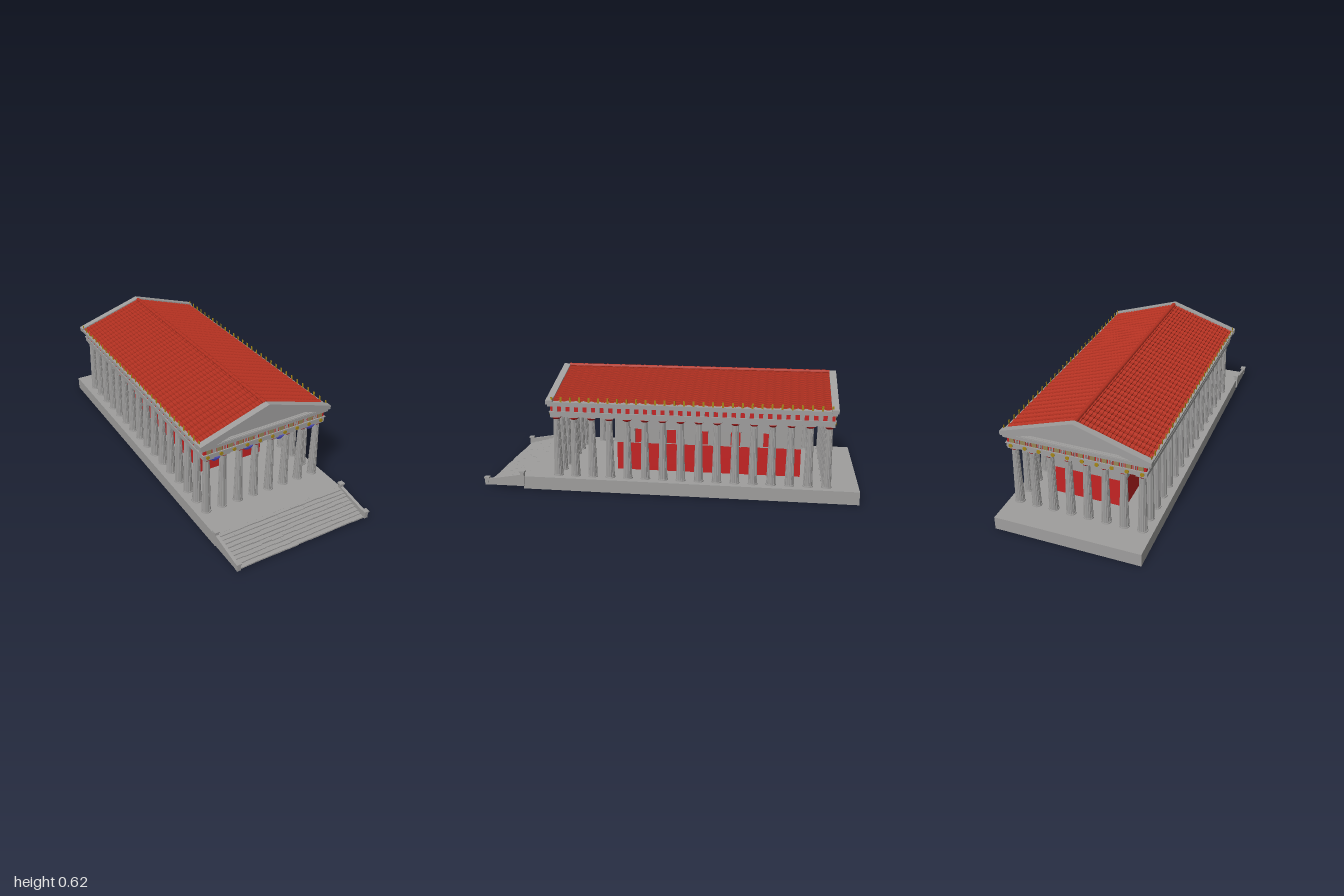
import * as THREE from 'three';

const mat = (color, extra = {}) => new THREE.MeshStandardMaterial({ color, ...extra });
const stone = mat(0x9f9e9d);
const stoneFlat = mat(0x9f9e9d, { flatShading: true });
const red = mat(0xc42323);
const tile = mat(0xb23020, { flatShading: true, side: THREE.DoubleSide });
const gold = mat(0xa48616);
const tan = mat(0x958658);
const blue = mat(0x4343a8);

const MID = -0.118; // centre of the colonnade along z

// small seeded generator for the uneven step blocks
let seed = 7;
const rand = () => (seed = (seed * 16807) % 2147483647) / 2147483647;

export function createModel() {
  const root = new THREE.Group();
  root.name = 'temple';

  const add = (name, geo, material, x = 0, y = 0, z = 0, parent = root) => {
    const m = new THREE.Mesh(geo, material);
    m.name = name;
    m.position.set(x, y, z);
    parent.add(m);
    return m;
  };
  // box given by its ranges
  const box = (name, material, x0, x1, y0, y1, z0, z1) =>
    add(name, new THREE.BoxGeometry(x1 - x0, y1 - y0, z1 - z0), material,
      (x0 + x1) / 2, (y0 + y1) / 2, (z0 + z1) / 2);
  const shapeOf = (pts) => new THREE.Shape(pts.map(([a, b]) => new THREE.Vector2(a, b)));
  // extrude a (z, y) profile along x, centred on x = 0
  const extrudeX = (shape, width) =>
    new THREE.ExtrudeGeometry(shape, { depth: width, bevelEnabled: false })
      .rotateY(-Math.PI / 2).translate(width / 2, 0, 0);

  // Platform: floor slab on a hollow rim
  box('floor', stone, -0.385, 0.385, 0.06, 0.07, -1, 0.78);
  for (const s of [-1, 1]) box('platformSide', stone, s * 0.383 - 0.002, s * 0.383 + 0.002, 0, 0.07, -1, 0.78);
  box('platformBack', stone, -0.385, 0.385, 0, 0.07, -1, -0.996);
  box('platformFront', stone, -0.385, 0.385, 0, 0.07, 0.776, 0.78);

  // Front steps: rows of slightly uneven blocks
  const steps = 9, run = 0.21 / steps;
  for (let i = 0; i < steps; i++) {
    const z = 0.988 - i * run, y = 0.021 + (i * 0.05) / (steps - 1);
    for (let x = -0.375; x < 0.374;) {
      const left = 0.375 - x, w = left < 0.09 ? left : 0.04 + rand() * 0.04;
      const top = y - rand() * 0.002, front = z - rand() * 0.004;
      box('stepBlock', stone, x, x + w, Math.max(0.012, y - 0.014), top, z - run - 0.008, front);
      x += w;
    }
  }

  // Sloping side walls of the steps with end posts
  const slope = shapeOf([[0.78, 0.015], [0.99, 0.015], [0.99, 0.045], [0.78, 0.082]]);
  for (const s of [-1, 1]) {
    const x = s * 0.382;
    add('stepSideWall', extrudeX(slope, 0.016), stone, x);
    for (const [z, y] of [[0.785, 0.1], [0.986, 0.058]]) {
      box('stepPost', stone, x - 0.01, x + 0.01, 0.015, y - 0.008, z - 0.01, z + 0.01);
      box('stepPostCap', stone, x - 0.014, x + 0.014, y - 0.008, y, z - 0.014, z + 0.014);
    }
  }

  // Columns: fluted tapering shaft, base, red capital, abacus
  const shaft = new THREE.CylinderGeometry(0.017, 0.0245, 0.32, 32, 4, true);
  const p = shaft.attributes.position;
  for (let i = 0; i < p.count; i++) {
    const k = (i % 33) % 2 ? 0.92 : 1;
    p.setX(i, p.getX(i) * k);
    p.setZ(i, p.getZ(i) * k);
  }
  const base = new THREE.CylinderGeometry(0.026, 0.028, 0.017, 24);
  const capital = new THREE.CylinderGeometry(0.026, 0.016, 0.01, 24);
  const lip = new THREE.CylinderGeometry(0.026, 0.026, 0.003, 24);
  const abacus = new THREE.BoxGeometry(0.054, 0.007, 0.054);
  const column = (x, z) => {
    const g = new THREE.Group();
    g.name = 'column';
    g.position.set(x, 0, z);
    add('columnBase', base, stone, 0, 0.068, 0, g);
    add('columnShaft', shaft, stoneFlat, 0, 0.228, 0, g);
    add('columnCapital', capital, red, 0, 0.391, 0, g);
    add('capitalLip', lip, red, 0, 0.3975, 0, g);
    add('columnAbacus', abacus, stone, 0, 0.4025, 0, g);
    root.add(g);
  };
  for (let i = 0; i < 8; i++) {
    const x = -0.33 + (i * 0.66) / 7;
    column(x, 0.597);
    column(x, -0.833);
  }
  for (let i = 1; i < 15; i++) {
    const z = 0.597 - (i * 1.43) / 15;
    column(-0.33, z);
    column(0.33, z);
  }

  // Inner hall: red lower walls, grey upper walls with windows and a doorway
  const T = 0.009, upper = shapeOf([[-0.7, 0.225], [0.3, 0.225], [0.3, 0.405], [-0.7, 0.405]]);
  const windows = [0.175, 0, -0.175, -0.35, -0.525];
  for (const z of windows) {
    upper.holes.push(new THREE.Path([[-1, 0.227], [-1, 0.306], [1, 0.306], [1, 0.227]]
      .map(([s, y]) => new THREE.Vector2(z + s * 0.026, y))));
  }
  const upperGeo = extrudeX(upper, T);
  for (const s of [-1, 1]) {
    const x = s * (0.19 - T / 2);
    box('hallSideLower', red, x - T / 2, x + T / 2, 0.058, 0.225, -0.7, 0.3);
    add('hallSideUpper', upperGeo, stone, x);
    for (const z of windows) {
      for (const e of [-1, 1]) {
        const c = z + e * 0.028;
        box('windowJamb', stone, x - 0.008, x + 0.008, 0.224, 0.31, c - 0.002, c + 0.002);
      }
      box('windowLintel', stone, x - 0.008, x + 0.008, 0.306, 0.31, z - 0.03, z + 0.03);
    }
    const a = s > 0 ? 0.05 : -0.19, b = s > 0 ? 0.19 : -0.05;
    box('hallFrontLower', red, a, b, 0.058, 0.225, 0.3 - T, 0.3);
    box('hallFrontUpper', stone, a, b, 0.225, 0.405, 0.3 - T, 0.3);
  }
  box('hallBackLower', red, -0.19, 0.19, 0.058, 0.225, -0.7, -0.7 + T);
  box('hallBackUpper', stone, -0.19, 0.19, 0.225, 0.405, -0.7, -0.7 + T);

  // Entablature
  box('architrave', stone, -0.36, 0.36, 0.405, 0.43, MID - 0.742, MID + 0.742);
  box('architraveBand', stone, -0.364, 0.364, 0.428, 0.433, MID - 0.746, MID + 0.746);
  box('frieze', red, -0.357, 0.357, 0.433, 0.465, MID - 0.739, MID + 0.739);
  box('lowerCornice', stone, -0.374, 0.374, 0.463, 0.476, MID - 0.75, MID + 0.75);
  box('upperCornice', stone, -0.382, 0.382, 0.476, 0.488, MID - 0.753, MID + 0.753);

  // Frieze panels and stripes, with gold discs on both ends
  const disc = new THREE.CylinderGeometry(0.01, 0.01, 0.006, 20).rotateX(Math.PI / 2);
  for (const s of [-1, 1]) {
    const zf = MID + s * 0.74;
    for (let i = 0; i < 12; i++) {
      const x = -0.33 + i * 0.06;
      box('friezePanel', tan, x - 0.013, x + 0.013, 0.436, 0.46, zf - 0.004, zf + 0.004);
      if (i < 11) for (const d of [-0.008, 0, 0.008]) {
        const c = x + 0.03 + d;
        box('friezeStripe', stone, c - 0.002, c + 0.002, 0.434, 0.463, zf - 0.003, zf + 0.003);
      }
    }
    for (let i = 0; i < 10; i++) add('goldDisc', disc, gold, -0.337 + i * 0.0749, 0.417, MID + s * 0.744);
    for (let i = 0; i < 32; i++) {
      const z = MID - 0.713 + i * 0.046;
      box('sideFriezeBlock', stone, s * 0.358 - 0.004, s * 0.358 + 0.004, 0.434, 0.463, z - 0.012, z + 0.012);
    }
  }

  // Pediments: raking frame, inner moulding and recessed field
  const tri = (w, y0, y1, y2) => [[-w, y0], [w, y0], [w, y1], [0, y2], [-w, y1]];
  const frame = (outer, hole, depth) => {
    const s = shapeOf(outer);
    s.holes.push(shapeOf(hole));
    return new THREE.ExtrudeGeometry(s, { depth, bevelEnabled: false });
  };
  const hole1 = [[-0.295, 0.485], [0, 0.579], [0.295, 0.485]];
  const hole2 = [[-0.255, 0.489], [0, 0.57], [0.255, 0.489]];
  const frameGeo = frame(tri(0.385, 0.476, 0.497, 0.62), hole1, 0.036);
  const mouldGeo = frame([[-0.3, 0.484], [0.3, 0.484], [0, 0.581]], hole2, 0.02);
  const fieldGeo = new THREE.ExtrudeGeometry(shapeOf(hole1), { depth: 0.01, bevelEnabled: false });
  for (const s of [-1, 1]) {
    const g = new THREE.Group();
    g.name = 'pediment';
    g.position.z = MID;
    g.rotation.y = s > 0 ? 0 : Math.PI;
    add('pedimentFrame', frameGeo, stone, 0, 0, 0.72, g);
    add('pedimentMoulding', mouldGeo, stone, 0, 0, 0.722, g);
    add('pedimentField', fieldGeo, stone, 0, 0, 0.722, g);
    root.add(g);
  }

  // Roof slopes: overlapping rows of tiles with raised cover ribs
  const rows = 20, ribs = 34, len = 1.444;
  const roof = new THREE.PlaneGeometry(1, len, rows * 2 - 1, ribs * 6).rotateX(-Math.PI / 2);
  const r = roof.attributes.position;
  for (let i = 0; i < r.count; i++) {
    const ix = i % (rows * 2), end = ix % 2;
    const x = 0.372 * ((Math.floor(ix / 2) + end * 0.999) / rows);
    const rib = Math.max(0, Math.cos((r.getZ(i) / len) * ribs * Math.PI * 2));
    r.setXYZ(i, x, 0.607 - 0.322 * x + end * 0.005 + rib * 0.005, r.getZ(i));
  }
  roof.computeVertexNormals();
  add('roofSlopeLeft', roof, tile, 0, 0, MID);
  add('roofSlopeRight', roof, tile, 0, 0, MID).rotation.y = Math.PI;

  // Ridge: a row of short tapered cap tiles
  const cap = new THREE.CylinderGeometry(0.012, 0.01, len / ribs, 12).rotateX(Math.PI / 2);
  for (let i = 0; i < ribs; i++) add('ridgeCap', cap, tile, 0, 0.612, MID - len / 2 + ((i + 0.5) * len) / ribs);

  // Small upright ornaments along the eaves
  for (const s of [-1, 1]) for (let i = 0; i < 30; i++) {
    const z = MID - 0.725 + i * 0.05;
    box('eaveOrnament', gold, s * 0.375 - 0.0015, s * 0.375 + 0.0015, 0.486, 0.515, z - 0.005, z + 0.005);
  }

  // Blue cloth swags between pairs of front columns
  const swag = new THREE.Shape();
  swag.moveTo(-0.034, 0.394);
  swag.quadraticCurveTo(0, 0.35, 0.034, 0.394);
  swag.quadraticCurveTo(0, 0.372, -0.034, 0.394);
  const swagGeo = new THREE.ExtrudeGeometry(swag, {
    depth: 0.006, bevelThickness: 0.003, bevelSize: 0.001, bevelSegments: 2, curveSegments: 14,
  });
  for (const x of [-0.284, -0.095, 0.095, 0.284]) add('swag', swagGeo, blue, x, 0, 0.6);

  return root;
}
